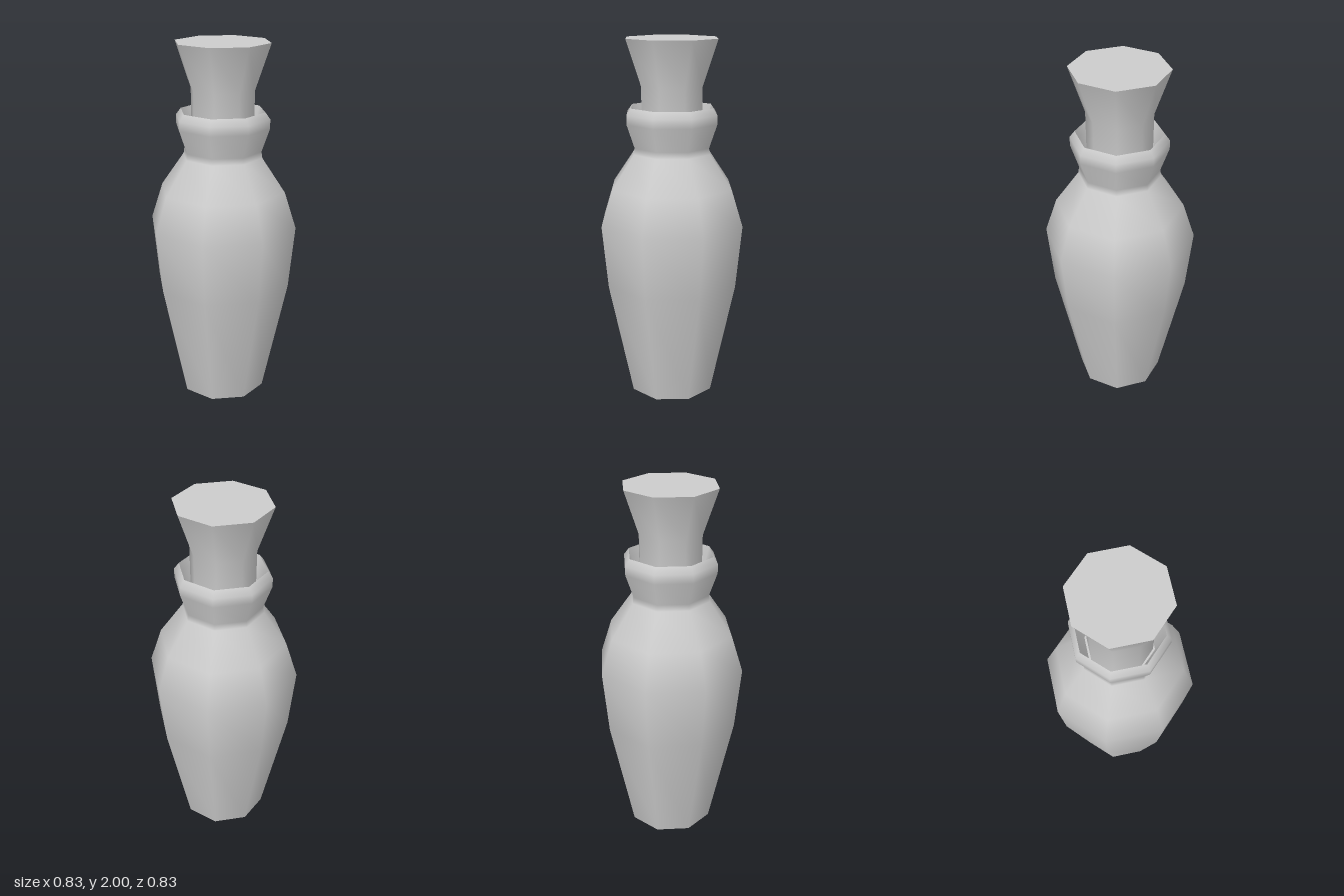
import * as THREE from 'three';

const SIDES = 8;

export function createModel() {
  const model = new THREE.Group();
  const grey = new THREE.MeshStandardMaterial({ color: 0xcccccc });
  grey.name = 'plain grey';

  // Eight-sided turned surface from [radius, height] pairs, outside faces when the profile rises
  function turned(name, profile, parent) {
    const points = profile.map(([r, y]) => new THREE.Vector2(r, y));
    const mesh = new THREE.Mesh(new THREE.LatheGeometry(points, SIDES), grey);
    mesh.name = name;
    parent.add(mesh);
  }

  // Bottle: flat base, smooth body with flared lip, open neck
  const bottle = new THREE.Group();
  bottle.name = 'bottle';
  model.add(bottle);
  turned('bottleBase', [[0, 0], [0.24, 0]], bottle);
  turned('bottleBody', [
    [0.24, 0], [0.38, 0.65], [0.415, 1.0], [0.35, 1.2], [0.222, 1.385],
    [0.217, 1.42], [0.262, 1.55], [0.262, 1.6], [0.235, 1.636],
  ], bottle);
  turned('neckInside', [[0.235, 1.636], [0.222, 1.59], [0.185, 1.43]], bottle);
  turned('neckFloor', [[0.185, 1.43], [0, 1.43]], bottle);

  // Stopper: straight plug flaring to a wide flat top
  const stopper = new THREE.Group();
  stopper.name = 'stopper';
  model.add(stopper);
  turned('stopperSide', [[0.174, 1.43], [0.177, 1.75], [0.262, 2]], stopper);
  turned('stopperTop', [[0.262, 2], [0, 2]], stopper);

  return model;
}
